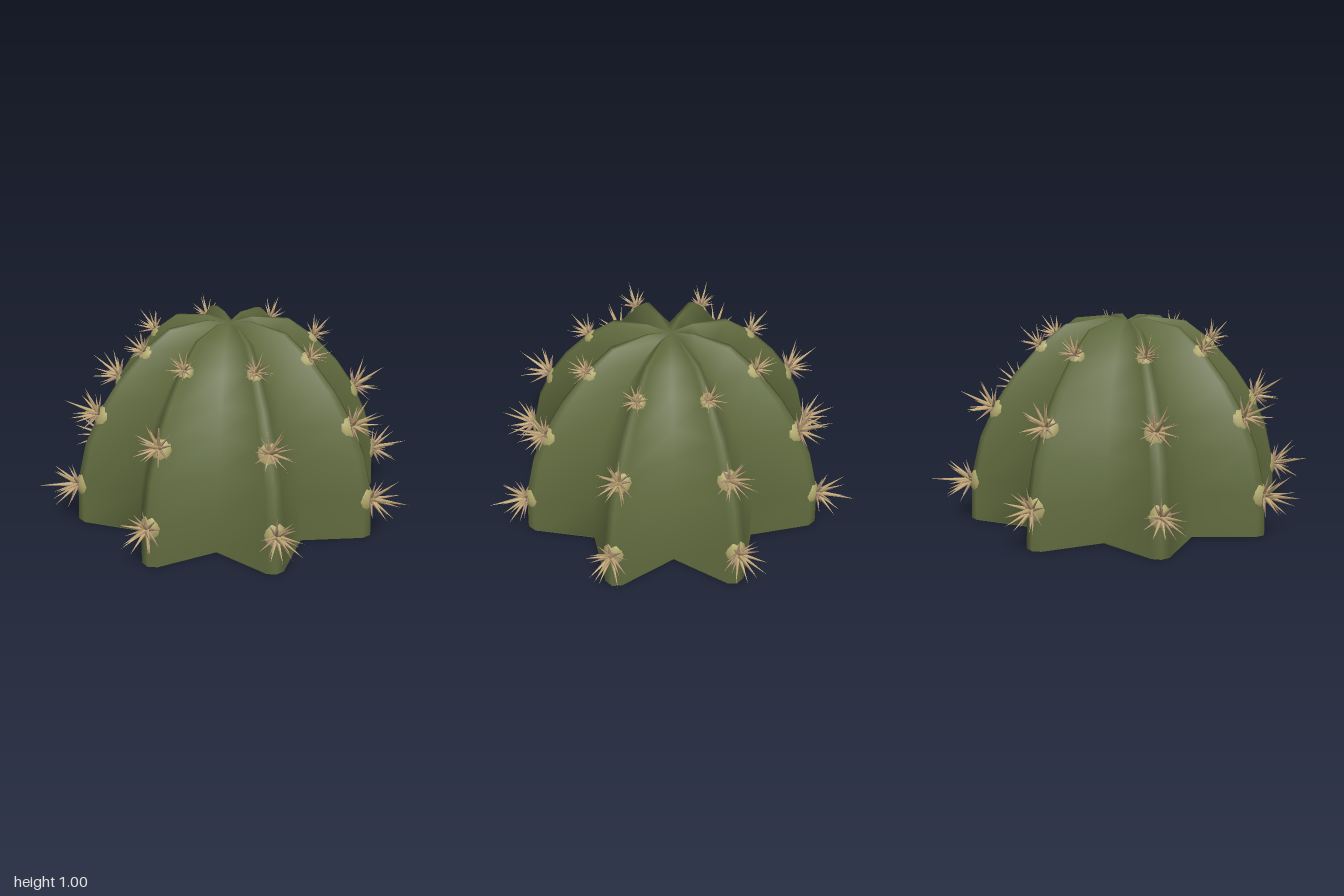
import * as THREE from 'three';
import { mergeGeometries } from 'three/addons/utils/BufferGeometryUtils.js';

const RIBS = 8;
const STEP = (Math.PI * 2) / RIBS;

const mat = (name, color, side = THREE.FrontSide) => {
  const m = new THREE.MeshStandardMaterial({ color, side });
  m.name = name;
  return m;
};

// Profiles from base to crown as [radius, height]
const RIDGE = [[0.8, 0.005], [0.793, 0.22], [0.745, 0.42], [0.665, 0.59], [0.575, 0.725],
  [0.44, 0.875], [0.31, 0.975], [0.12, 1.003]];
const VALLEY = [[0.565, 0.005], [0.56, 0.22], [0.52, 0.41], [0.465, 0.57], [0.395, 0.69],
  [0.295, 0.82], [0.2, 0.91], [0.075, 0.972]];

// Star cross-section: each rib has a blunt tip of three points and one valley
function starRow(k) {
  const [R, yr] = RIDGE[k], [V, yv] = VALLEY[k];
  const s = R / 0.8, pts = [];
  for (let i = 0; i < RIBS; i++) {
    const a = i * STEP, c = Math.cos(a), n = Math.sin(a);
    for (const [r, t] of [[R - 0.02 * s, -0.044 * s], [R, 0], [R - 0.02 * s, 0.044 * s]]) {
      pts.push([r * c - t * n, yr, r * n + t * c]);
    }
    pts.push([V * Math.cos(a + STEP / 2), yv, V * Math.sin(a + STEP / 2)]);
  }
  return pts;
}

function bodyGeometry() {
  const pos = [], idx = [], n = RIBS * 4;
  RIDGE.forEach((_, k) => starRow(k).forEach((p) => pos.push(...p)));
  const pole = pos.length / 3;
  pos.push(0, 0.985, 0);
  for (let k = 0; k < RIDGE.length; k++) {
    for (let i = 0; i < n; i++) {
      const j = (i + 1) % n, a = k * n + i, b = k * n + j;
      if (k === RIDGE.length - 1) idx.push(a, pole, b);
      else idx.push(a, a + n, b, b, a + n, b + n);
    }
  }
  const g = new THREE.BufferGeometry();
  g.setAttribute('position', new THREE.Float32BufferAttribute(pos, 3));
  g.setIndex(idx);
  g.computeVertexNormals();
  return g;
}

const starPoints = (scale) => starRow(0).map(([x, , z]) => new THREE.Vector2(x * scale, z * scale));

function seeded(seed) {
  return () => (seed = (seed * 16807) % 2147483647) / 2147483647;
}

// Rings of spines pointing out around +z: [count, tilt, length, base radius]
function spineGeometry(rings, seed) {
  const rand = seeded(seed), parts = [];
  for (const [count, tilt, length, radius] of rings) {
    for (let i = 0; i < count; i++) {
      const len = length * (count === 1 ? 1 : 0.85 + 0.3 * rand());
      const cone = new THREE.ConeGeometry(radius, len, 5, 1, true);
      cone.translate(0, len / 2, 0);
      cone.rotateX(Math.PI / 2);
      cone.rotateY(tilt + (count === 1 ? 0 : (rand() - 0.5) * 0.25));
      cone.rotateZ(((i + 0.5 * rand()) / count) * Math.PI * 2);
      parts.push(cone);
    }
  }
  return mergeGeometries(parts);
}

export function createModel() {
  const group = new THREE.Group();
  const skin = mat('cactus green', 0x606a3e);
  const under = mat('underside green', 0x86c280, THREE.DoubleSide);
  const pad = mat('areole yellow', 0xb0a86c);
  const tan = mat('spine tan', 0xc8ac7c);
  const brown = mat('spine brown', 0xb4957a);

  const add = (name, geometry, material, parent = group) => {
    const m = new THREE.Mesh(geometry, material);
    m.name = name;
    parent.add(m);
    return m;
  };

  add('ribbedBody', bodyGeometry(), skin);

  // Narrow rim around the base
  const rimShape = new THREE.Shape(starPoints(0.998));
  rimShape.holes.push(new THREE.Path(starPoints(0.95)));
  const rim = new THREE.ExtrudeGeometry(rimShape, { depth: 0.025, bevelEnabled: false });
  rim.rotateX(Math.PI / 2);
  rim.translate(0, 0.025, 0);
  add('baseRim', rim, skin);

  // Recessed underside with a shallow faceted hollow in the middle
  const floorShape = new THREE.Shape(starPoints(0.955));
  const hole = [];
  for (let i = 0; i < RIBS; i++) {
    hole.push(new THREE.Vector2(0.33 * Math.sin(i * STEP), 0.33 * Math.cos(i * STEP)));
  }
  floorShape.holes.push(new THREE.Path(hole));
  const floor = new THREE.ShapeGeometry(floorShape);
  floor.rotateX(Math.PI / 2);
  floor.translate(0, 0.015, 0);
  add('underside', floor, under);
  const hollow = new THREE.LatheGeometry(
    [[0.33, 0.015], [0.17, 0.07], [0, 0.08]].map(([x, y]) => new THREE.Vector2(x, y)), RIBS).toNonIndexed();
  hollow.computeVertexNormals();
  add('undersideHollow', hollow, under);

  // Areole pads with spines, three on every rib
  const padGeo = new THREE.SphereGeometry(1, 12, 8);
  padGeo.scale(0.056, 0.08, 0.055);
  padGeo.translate(0, 0, -0.046);
  const longSpines = spineGeometry([[1, 0, 0.2, 0.014], [7, 0.7, 0.155, 0.012]], 11);
  const shortSpines = spineGeometry([[9, 1.2, 0.12, 0.01]], 29);
  const rows = [[0.793, 0.2, 0.08, 1], [0.675, 0.57, 0.5, 0.95], [0.44, 0.875, 0.8, 0.68]];
  for (let i = 0; i < RIBS; i++) {
    for (const [r, y, pitch, scale] of rows) {
      const a = i * STEP;
      const cluster = new THREE.Group();
      cluster.name = 'spineCluster';
      cluster.rotation.order = 'YXZ';
      cluster.rotation.set(-pitch, a, 0);
      cluster.position.set(r * Math.sin(a), y, r * Math.cos(a));
      cluster.scale.setScalar(scale);
      add('areole', padGeo, pad, cluster);
      add('longSpines', longSpines, tan, cluster);
      add('shortSpines', shortSpines, brown, cluster);
      group.add(cluster);
    }
  }
  return group;
}
